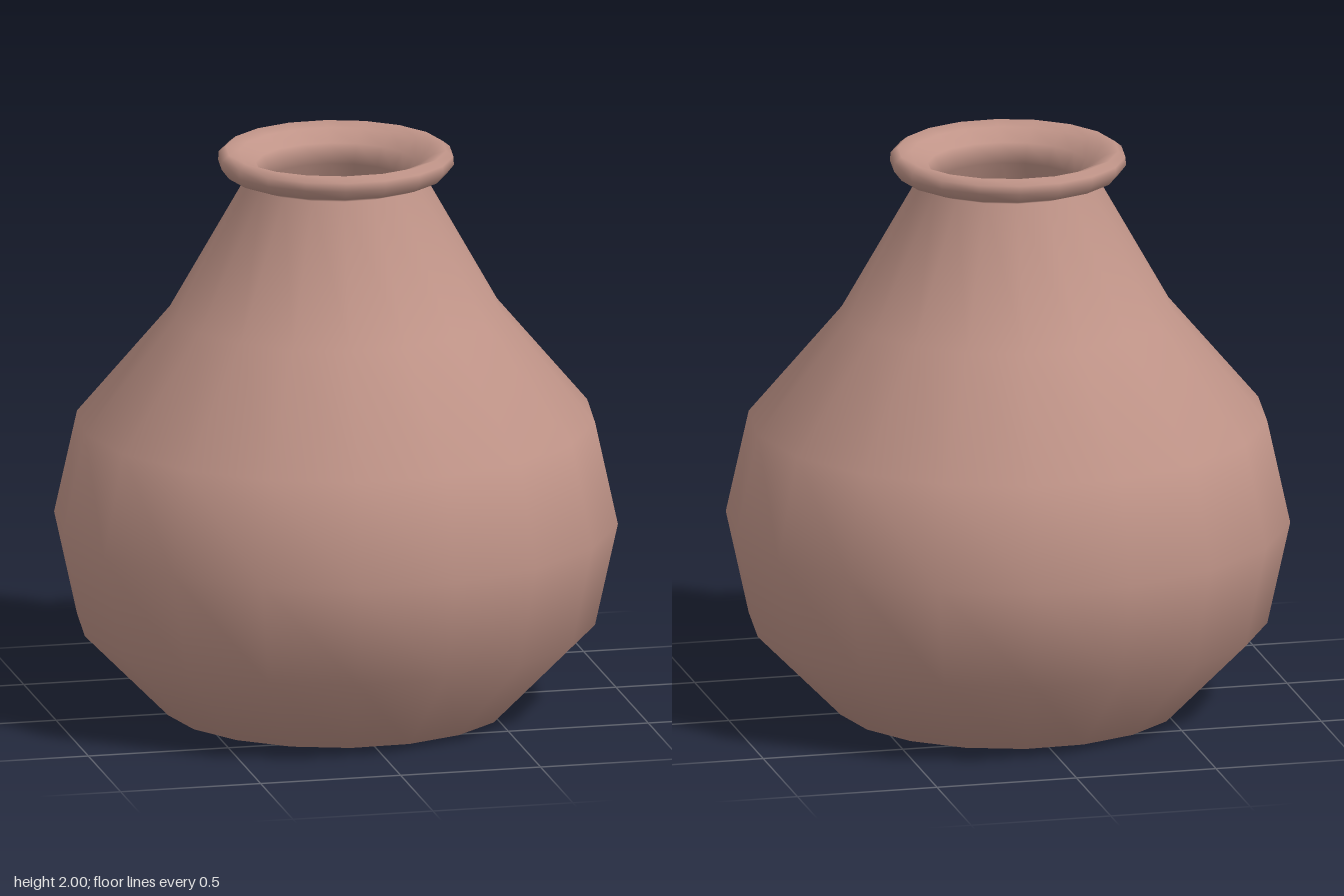
import * as THREE from 'three';

const SIDES = 18;
const TURN = THREE.MathUtils.degToRad(12);

export function createModel() {
  const group = new THREE.Group();
  group.name = 'vase';

  // Closed wall profile [radius, height]: base, belly, neck, lip, funnel, inside
  const profile = [
    [0, 0], [0.605, 0], [0.905, 0.305], [0.985, 0.67], [0.905, 1.035],
    [0.58, 1.42], [0.315, 1.89],
    [0.385, 1.915], [0.412, 1.95], [0.41, 1.98], [0.385, 2],
    [0.34, 1.985], [0.28, 1.945], [0.245, 1.88],
    [0.51, 1.39], [0.83, 1.01], [0.91, 0.67], [0.83, 0.34], [0.57, 0.08], [0, 0.08],
  ].map(([r, y]) => new THREE.Vector2(r, y));

  // Smooth-shaded vessel with a faceted outline
  const vessel = new THREE.Mesh(
    new THREE.LatheGeometry(profile, SIDES, TURN, Math.PI * 2),
    new THREE.MeshStandardMaterial({ color: 0xc09488 }),
  );
  vessel.name = 'vessel';
  group.add(vessel);
  return group;
}
